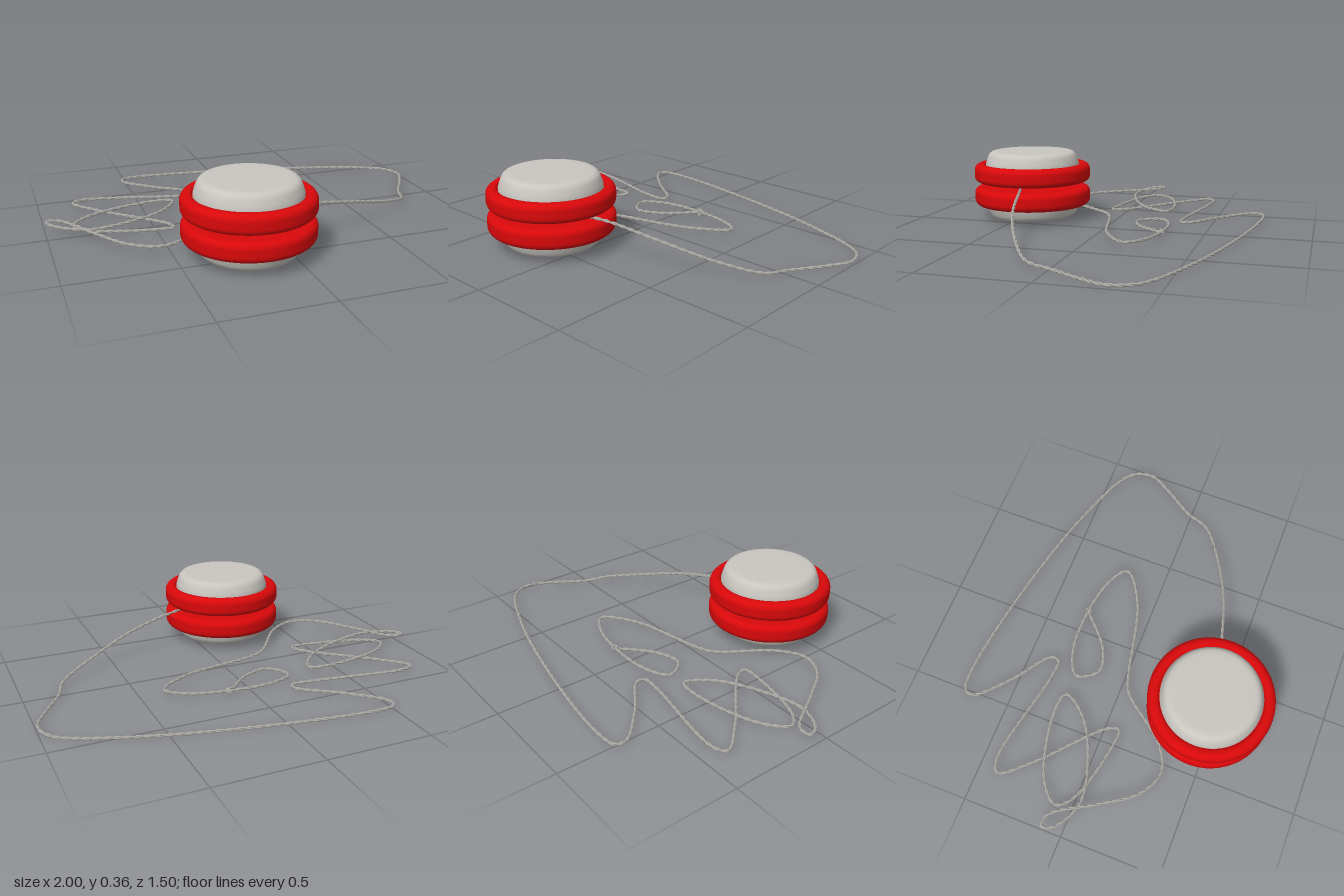
import * as THREE from 'three';

const red = new THREE.MeshStandardMaterial({ color: 0xd9080a });
red.name = 'red plastic';
const grey = new THREE.MeshStandardMaterial({ color: 0xc9c6c0 });
grey.name = 'pale grey cap';
const cord = new THREE.MeshStandardMaterial({ color: 0xaeaba5 });
cord.name = 'grey cord';

const SPOOL = new THREE.Vector3(-0.175, 0.189, 0.445);

function add(parent, name, geometry, material) {
  const mesh = new THREE.Mesh(geometry, material);
  mesh.name = name;
  parent.add(mesh);
  return mesh;
}

// quarter-round profile points, angles in quarter turns
function arc(cx, cy, r, from, to) {
  return Array.from({ length: 7 }, (_, i) => {
    const a = (from + (to - from) * i / 6) * Math.PI / 2;
    return [cx + r * Math.cos(a), cy + r * Math.sin(a)];
  });
}

const lathe = (points) => new THREE.LatheGeometry(points.map(([x, y]) => new THREE.Vector2(x, y)), 64);

// One half of the spool, measured from the middle of the gap
function makeHalf(name, capTilt) {
  const half = new THREE.Group();
  half.name = name;
  add(half, 'rim', lathe([
    [0, 0.018], [0.2, 0.017], [0.25, 0.014],
    ...arc(0.272, 0.044, 0.03, -1, 0),
    ...arc(0.27, 0.076, 0.032, 0, 1),
    [0.256, 0.107], [0.249, 0.102], [0.246, 0.088], [0, 0.088],
  ]), red);
  const cap = add(half, 'cap', lathe([
    [0.244, 0.08], [0.244, 0.104], [0.239, 0.122], [0.231, 0.145], [0.224, 0.158],
    [0.214, 0.167], [0.2, 0.171], [0.18, 0.172], [0, 0.173],
  ]), grey);
  cap.rotation.x = capTilt;
  return half;
}

// Centre line of the cord: a turn round the axle, then x, y, z along the floor
const PATH = [
  0.13, 0.183, 0.40, 0.38, 0.138, 0.33, 0.62, 0.073, 0.22, 0.79, 0.03, 0.10,
  0.84, 0.02, -0.02, 0.94, 0.02, -0.18, 0.99, 0.02, -0.29, 0.95, 0.02, -0.40,
  0.61, 0.02, -0.55, -0.05, 0.02, -0.70, -0.43, 0.02, -0.74, -0.505, 0.02, -0.725,
  -0.515, 0.02, -0.68, -0.37, 0.02, -0.53, -0.19, 0.02, -0.39, -0.195, 0.02, -0.35,
  -0.29, 0.02, -0.35, -0.77, 0.03, -0.43, -0.83, 0.03, -0.40, -0.72, 0.025, -0.26,
  -0.43, 0.02, 0.02, -0.42, 0.02, 0.07, -0.51, 0.02, 0.07, -0.81, 0.025, -0.01,
  -0.87, 0.03, -0.08, -0.77, 0.035, -0.18, -0.45, 0.04, -0.26, -0.35, 0.04, -0.24,
  -0.425, 0.04, -0.12, -0.64, 0.042, -0.005, -0.83, 0.048, 0.03, -0.97, 0.06, -0.04,
  -0.99, 0.063, -0.095, -0.93, 0.06, -0.09, -0.80, 0.058, 0.11, -0.68, 0.055, 0.28,
  -0.55, 0.05, 0.34, -0.42, 0.045, 0.28, -0.23, 0.035, 0.05, -0.15, 0.03, 0.015,
  0.24, 0.038, -0.085, 0.39, 0.038, -0.20, 0.27, 0.032, -0.28, -0.10, 0.025, -0.305,
  -0.235, 0.02, -0.235, -0.17, 0.02, -0.135, -0.05, 0.022, -0.165, 0.11, 0.028, -0.31,
];

function cordPath() {
  const points = [];
  for (let i = 0; i <= 8; i++) {
    const a = Math.PI * (2.5 - i / 4);
    points.push(new THREE.Vector3(
      SPOOL.x + 0.038 * Math.cos(a), 0.184 + i * 0.001, SPOOL.z + 0.008 + 0.038 * Math.sin(a)));
  }
  for (let i = 0; i < PATH.length; i += 3) points.push(new THREE.Vector3().fromArray(PATH, i));
  const path = new THREE.CatmullRomCurve3(points);
  path.arcLengthDivisions = 3000;
  return path;
}

// A strand winding round the centre line
class Strand extends THREE.Curve {
  constructor(path, phase) {
    super();
    this.path = path;
    this.phase = phase;
    this.turns = Math.round(path.getLength() / 0.085);
  }
  getUtoTmapping(u) {
    return u;
  }
  getPoint(t, target = new THREE.Vector3()) {
    const tangent = this.path.getTangentAt(t);
    const side = new THREE.Vector3(0, 1, 0).cross(tangent).normalize();
    const up = tangent.clone().cross(side);
    const a = this.phase + t * this.turns * Math.PI * 2;
    return target.copy(this.path.getPointAt(t))
      .addScaledVector(side, 0.0036 * Math.cos(a))
      .addScaledVector(up, 0.0036 * Math.sin(a));
  }
}

export function createModel() {
  const model = new THREE.Group();
  model.name = 'spoolToy';

  // Spool: two mirrored halves on a thin axle
  const spool = new THREE.Group();
  spool.name = 'spool';
  spool.position.copy(SPOOL);
  const lower = makeHalf('lowerHalf', 0.03);
  lower.rotation.x = Math.PI;
  spool.add(makeHalf('upperHalf', 0), lower);
  add(spool, 'axle', new THREE.CylinderGeometry(0.03, 0.03, 0.06, 24), grey);
  model.add(spool);

  // Twisted cord
  const string = new THREE.Group();
  string.name = 'string';
  const path = cordPath();
  for (const phase of [0, Math.PI]) {
    add(string, 'strand', new THREE.TubeGeometry(new Strand(path, phase), 1200, 0.0047, 6), cord);
  }

  // Knot and short tail at the loose end
  const knot = add(string, 'knot', new THREE.TorusKnotGeometry(0.011, 0.005, 48, 8), cord);
  knot.position.set(0.11, 0.027, -0.305);
  const tail = add(string, 'tail', new THREE.CapsuleGeometry(0.005, 0.02, 4, 8), cord);
  tail.position.set(0.12, 0.03, -0.314);
  tail.rotation.set(Math.PI / 2, 0, -0.6);
  model.add(string);

  return model;
}
